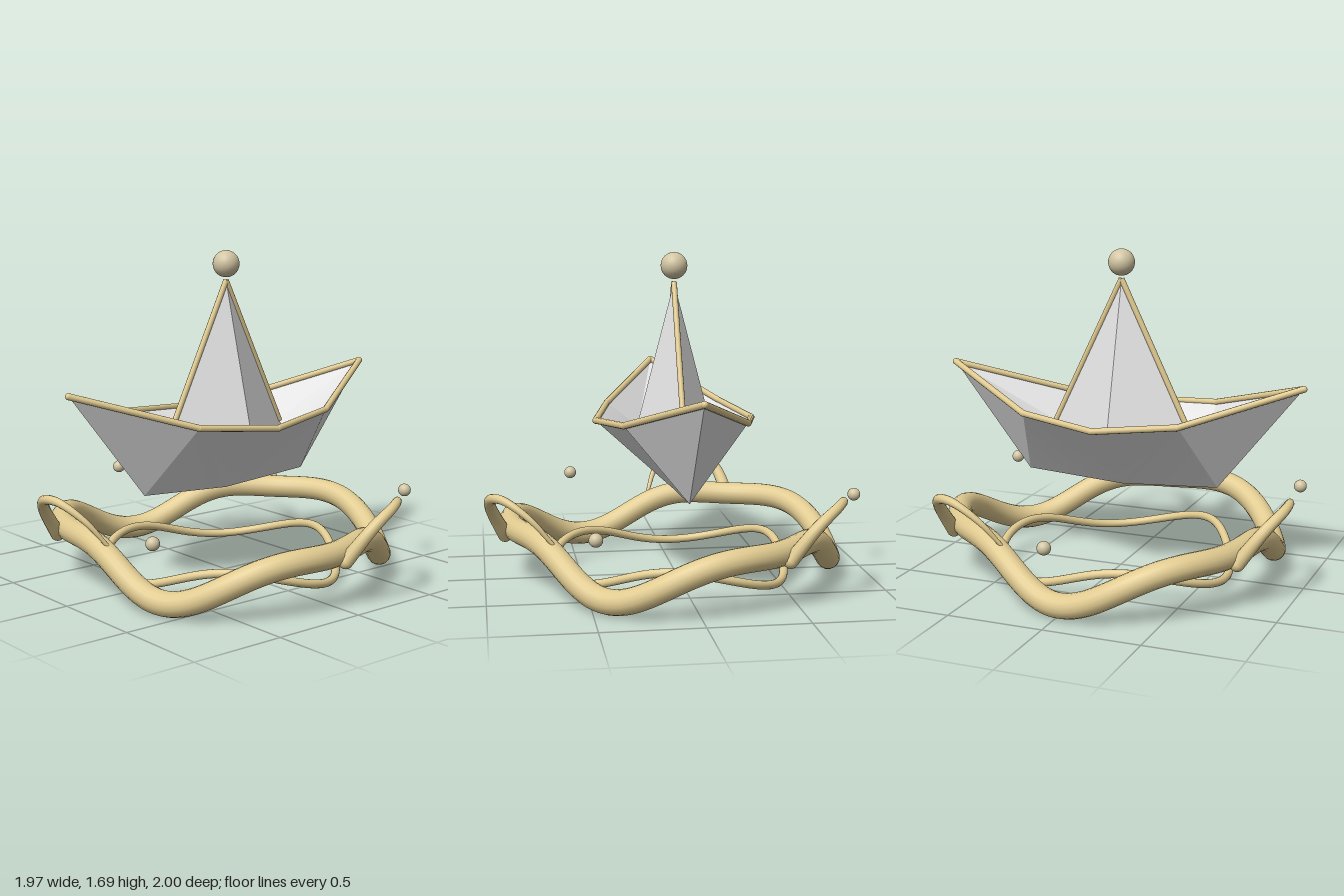
import * as THREE from 'three';
import { toCreasedNormals } from 'three/addons/utils/BufferGeometryUtils.js';

const paper = new THREE.MeshStandardMaterial({ color: 0xe2e2e2, side: THREE.DoubleSide });
paper.name = 'paper';
const gold = new THREE.MeshStandardMaterial({ color: 0xe0ca90 });
gold.name = 'gold';
const pearl = new THREE.MeshStandardMaterial({ color: 0xd2c5a2 });
pearl.name = 'pearl';

const V = (x, y, z) => new THREE.Vector3(x, y, z);
// Point at angle a (from +x towards +z), radius r and height y
const polar = (a, r, y) => V(r * Math.cos(a), y, r * Math.sin(a));

function add(parent, name, geometry, material) {
  const mesh = new THREE.Mesh(geometry, material);
  mesh.name = name;
  parent.add(mesh);
  return mesh;
}

function ball(parent, name, p, r, material) {
  add(parent, name, new THREE.SphereGeometry(r, 24, 16), material).position.copy(p);
}

// Straight rod between two points
function rod(parent, name, a, b, r) {
  const dir = b.clone().sub(a);
  const mesh = add(parent, name, new THREE.CylinderGeometry(r, r, dir.length(), 10), gold);
  mesh.position.copy(a).lerp(b, 0.5);
  mesh.quaternion.setFromUnitVectors(V(0, 1, 0), dir.normalize());
}

// Folded sheet from polygons, each split as a fan, with sharp folds
function sheet(faces) {
  const points = [];
  for (const f of faces)
    for (let i = 1; i < f.length - 1; i++) points.push(f[0], f[i], f[i + 1]);
  return toCreasedNormals(new THREE.BufferGeometry().setFromPoints(points), 0.4);
}

// Closed ring whose radius and height follow the angle
function waveRing(radius, height, tube) {
  const pts = [];
  for (let i = 0; i < 72; i++) {
    const a = (i / 72) * Math.PI * 2;
    pts.push(polar(a, radius(a), height(a)));
  }
  return new THREE.TubeGeometry(new THREE.CatmullRomCurve3(pts, true), 180, tube, 16, true);
}

// Tube whose radius shrinks from r0 to r1
function taperedTube(curve, segments, sides, r0, r1) {
  const g = new THREE.TubeGeometry(curve, segments, 1, sides);
  const pos = g.attributes.position, v = V(0, 0, 0);
  for (let i = 0; i < pos.count; i++) {
    const t = Math.floor(i / (sides + 1)) / segments;
    const c = curve.getPointAt(t);
    v.fromBufferAttribute(pos, i).sub(c).multiplyScalar(r0 + (r1 - r0) * t).add(c);
    pos.setXYZ(i, v.x, v.y, v.z);
  }
  return g;
}

export function createModel() {
  const model = new THREE.Group();
  model.name = 'paperBoatOnWaves';

  // Outer ring: flat crests and narrow troughs; inner ring: turned smooth wave
  add(model, 'outerWaveRing', waveRing(
    (a) => 0.834 + 0.052 * Math.cos(3 * a),
    (a) => 0.202 - 0.103 * Math.sin(3 * a) + 0.035 * Math.cos(6 * a), 0.063), gold);
  add(model, 'innerWaveRing', waveRing(
    (a) => 0.6 - 0.035 * Math.sin(3 * a),
    (a) => 0.095 + 0.06 * Math.sin(3 * a + 1.2), 0.022), gold);

  // Three curling crests and three droplets around the ring
  const crest = [[89, 0.885, 0.24], [82.5, 0.963, 0.4], [75, 0.99, 0.48],
    [68, 0.96, 0.487], [61, 0.875, 0.4], [57, 0.79, 0.28]];
  for (let k = 0; k < 3; k++) {
    const turn = (k * 2 * Math.PI) / 3;
    const pts = crest.map(([d, r, y]) => polar(THREE.MathUtils.degToRad(d) + turn, r, y));
    const curve = new THREE.CatmullRomCurve3(pts);
    add(model, 'waveCrest', taperedTube(curve, 48, 12, 0.038, 0.01), gold);
    ball(model, 'crestRoot', pts[0], 0.037, gold);
    ball(model, 'crestTip', pts[5], 0.01, gold);
    ball(model, 'droplet', polar(Math.PI / 6 + turn, 0.973, 0.395), 0.034, pearl);
  }

  const boat = new THREE.Group();
  boat.name = 'boat';
  model.add(boat);

  // Hull and inner fold: four mirrored quarters
  const hull = [], lining = [], floorY = 0.72;
  const keel = V(0, 0.45, 0), floorMid = V(0, floorY, 0);
  for (const sx of [1, -1])
    for (const sz of [1, -1]) {
      const tip = V(0.97 * sx, 1.035, 0), shoulder = V(0.42 * sx, 0.86, 0.31 * sz);
      const mid = V(0, 0.825, 0.41 * sz), keelEnd = V(0.53 * sx, 0.483, 0);
      const floorEnd = V(0.48 * sx, floorY, 0), floorShoulder = V(0.43 * sx, floorY, 0.14 * sz);
      const floorSide = V(0, floorY, 0.22 * sz);
      // Keep the outside facing out on mirrored quarters
      const orient = (f) => (sx * sz < 0 ? f.slice().reverse() : f);
      hull.push(...[[tip, shoulder, keelEnd], [shoulder, mid, keel], [shoulder, keel, keelEnd]].map(orient));
      lining.push(...[
        [tip, floorEnd, floorShoulder], [tip, floorShoulder, shoulder],
        [shoulder, floorShoulder, floorSide], [shoulder, floorSide, mid],
        [floorMid, floorSide, floorShoulder, floorEnd],
      ].map(orient));

      // Rim rods
      rod(boat, 'rim', tip, shoulder, 0.017);
      rod(boat, 'rim', shoulder, mid, 0.017);
      ball(boat, 'rimJoint', shoulder, 0.017, gold);
      if (sz > 0) ball(boat, 'rimTip', tip, 0.017, gold);
      if (sx > 0) ball(boat, 'rimJoint', mid, 0.017, gold);
    }
  add(boat, 'hull', sheet(hull), paper);
  add(boat, 'innerFold', sheet(lining), paper);

  // Sail: four-sided pyramid with rods on its two long edges
  const apex = V(0, 1.535, 0), baseY = 0.74;
  const base = [V(0.385, baseY, 0), V(0, baseY, -0.208), V(-0.385, baseY, 0), V(0, baseY, 0.208)];
  add(boat, 'sail', sheet(base.map((p, i) => [apex, p, base[(i + 1) % 4]])), paper);
  for (const i of [0, 2]) rod(boat, 'sailEdge', base[i].clone().lerp(apex, 0.03), apex, 0.015);
  ball(boat, 'mastPearl', V(0, 1.62, 0), 0.069, pearl);

  model.position.z = 0.008;
  return model;
}
